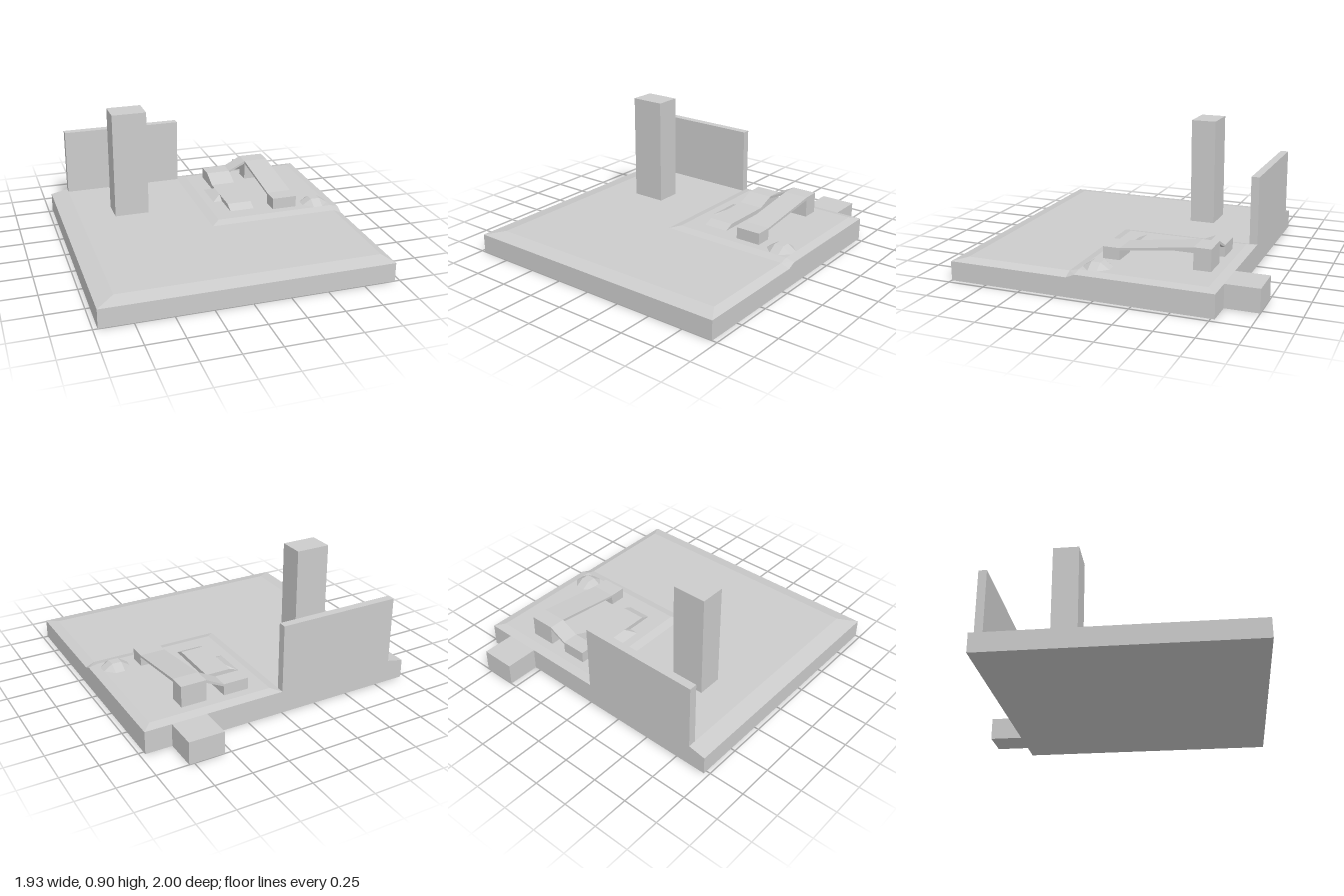
import * as THREE from 'three';
import { ConvexGeometry } from 'three/addons/geometries/ConvexGeometry.js';

const material = new THREE.MeshStandardMaterial({ color: 0xcccccc, flatShading: true });

export function createModel() {
  const group = new THREE.Group();

  const add = (name, geometry) => {
    const mesh = new THREE.Mesh(geometry, material);
    mesh.name = name;
    group.add(mesh);
    return mesh;
  };
  // Box given by its limits on each axis
  const box = (name, [x0, x1], [y0, y1], [z0, z1]) =>
    add(name, new THREE.BoxGeometry(x1 - x0, y1 - y0, z1 - z0))
      .position.set((x0 + x1) / 2, (y0 + y1) / 2, (z0 + z1) / 2);
  // Convex solid around a few corners
  const solid = (name, corners) =>
    add(name, new ConvexGeometry(corners.map((c) => new THREE.Vector3(...c))));
  // Horizontal rectangle of corners at height y
  const rect = (y, [x0, x1], [z0, z1]) => [[x0, y, z0], [x1, y, z0], [x1, y, z1], [x0, y, z1]];
  // Convex (z, y) profile swept along x
  const sweepX = (name, profile, xs) =>
    solid(name, xs.flatMap((x) => profile.map(([z, y]) => [x, y, z])));
  // Convex (x, y) profile swept along z
  const sweepZ = (name, profile, zs) =>
    solid(name, zs.flatMap((z) => profile.map(([x, y]) => [x, y, z])));

  // Ground slab with sloped left, right and front rims
  const slabX = [-0.97, 0.965], slabZ = [-0.775, 1];
  solid('groundSlab', [
    ...rect(0, slabX, slabZ),
    ...rect(0.13, slabX, slabZ),
    ...rect(0.155, [-0.85, 0.905], [-0.775, 0.9]),
  ]);
  box('rearStep', [0.545, 0.785], [0, 0.155], [-1, -0.775]);

  // Raised terrace in the rear corner
  solid('terrace', [
    ...rect(0.13, [0, 0.965], [-0.775, 0.18]),
    [0, 0.155, -0.775], [0, 0.155, 0.18], [0.905, 0.155, 0.18],
    [0.965, 0.155, 0.12], [0.965, 0.155, -0.775],
    ...rect(0.17, [0.06, 0.905], [-0.715, 0.12]),
  ]);

  // Tall pieces
  box('rearWall', [-0.85, 0], [0.13, 0.62], [-0.775, -0.72]);
  box('tower', [-0.605, -0.365], [0.15, 0.9], [-0.355, -0.18]);

  // Walkway supports
  const wideX = [0.485, 0.66], pathX = [0.185, 0.36], backZ = [-0.655, -0.54];
  box('frontSupport', wideX, [0.165, 0.25], [-0.05, 0.065]);
  box('highSupport', wideX, [0.165, 0.315], backZ);
  box('lowSupport', pathX, [0.165, 0.25], backZ);

  // Thin sloping decks between the supports
  sweepX('longDeck', [[-0.05, 0.235], [-0.05, 0.25], [-0.54, 0.315], [-0.54, 0.295]], wideX);
  sweepZ('crossDeck', [[0.36, 0.235], [0.36, 0.25], [0.485, 0.315], [0.485, 0.295]], backZ);

  // Low path with its end slopes and flared side ramp
  sweepX('lowPath', [[0.01, 0.17], [-0.055, 0.2], [-0.54, 0.2], [-0.54, 0.17]], pathX);
  sweepX('pathSlope', [[-0.54, 0.25], [-0.42, 0.2], [-0.54, 0.2]], pathX);
  solid('sideRamp', [
    [0.12, 0.17, -0.42], [0.12, 0.17, -0.18],
    [0.185, 0.17, -0.42], [0.185, 0.17, -0.18],
    [0.185, 0.2, -0.36], [0.185, 0.2, -0.24],
  ]);

  // Faceted mound: octagonal foot and square top
  solid('mound', [
    ...rect(0.17, [0.72, 0.905], [0, 0.06]),
    ...rect(0.17, [0.78, 0.845], [-0.06, 0.12]),
    ...rect(0.21, [0.78, 0.845], [0, 0.06]),
  ]);

  return group;
}
